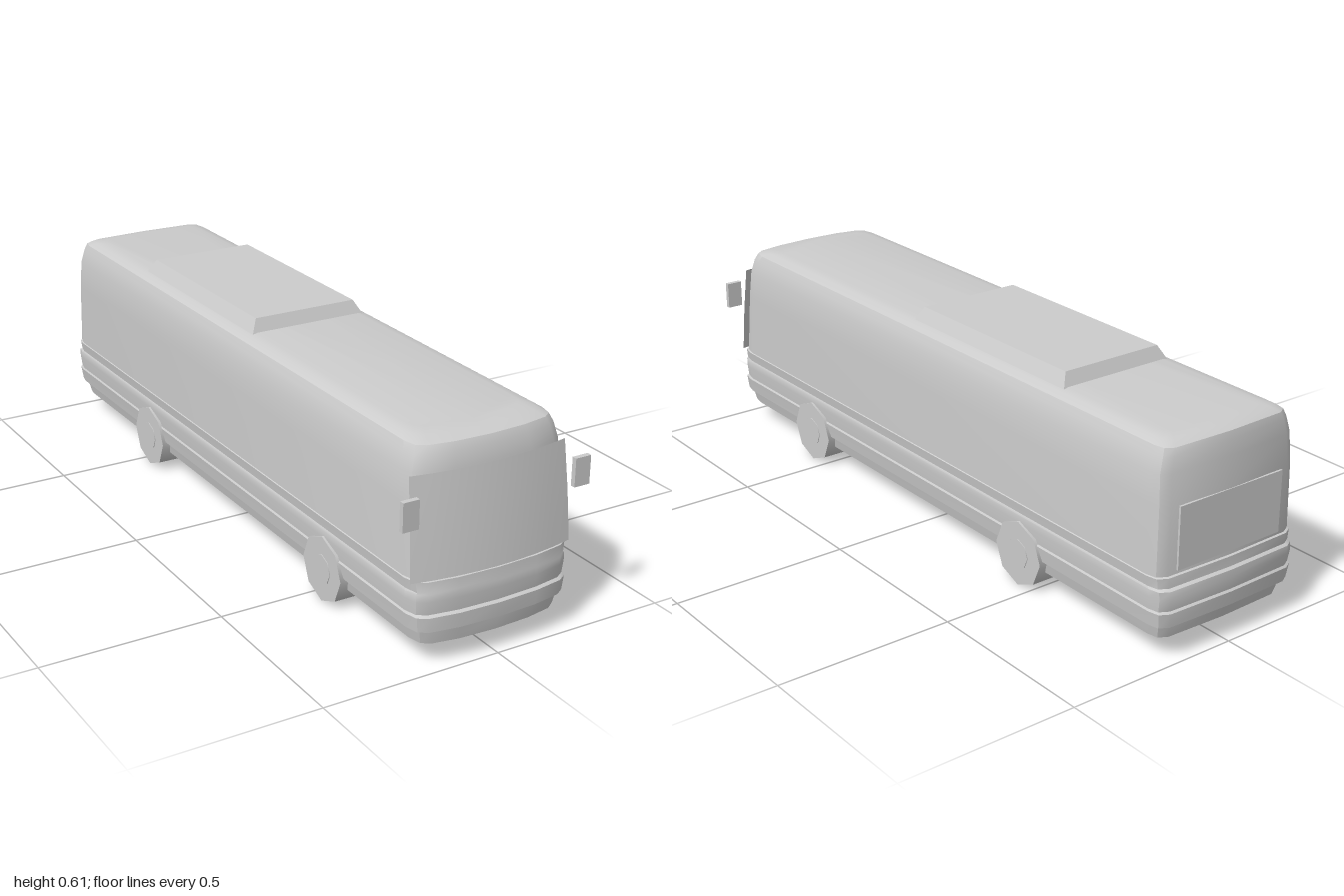
import * as THREE from 'three';
import { toCreasedNormals } from 'three/addons/utils/BufferGeometryUtils.js';

// Skin between equal-length rows of points; closed rows get flat end caps.
function loft(rows, closed) {
  const n = rows[0].length, pos = rows.flat(2), index = [];
  const last = closed ? n : n - 1;
  for (let r = 0; r < rows.length - 1; r++) {
    for (let i = 0; i < last; i++) {
      const j = (i + 1) % n, a = r * n + i, b = r * n + j;
      index.push(a, b, b + n, a, b + n, a + n);
    }
  }
  if (closed) {
    const t = (rows.length - 1) * n;
    for (let i = 1; i < n - 1; i++) {
      index.push(0, i + 1, i, t, t + i, t + i + 1);
    }
  }
  const g = new THREE.BufferGeometry();
  g.setAttribute('position', new THREE.Float32BufferAttribute(pos, 3));
  g.setIndex(index);
  return toCreasedNormals(g, 0.6);
}

// Plan outline of the coach at one height: bowed front, tighter rear corners.
function outline([y, w, zf, zb]) {
  const half = [
    [0, zf], [0.5 * w, zf - 0.005], [0.85 * w, zf - 0.018], [0.96 * w, zf - 0.034], [w, zf - 0.07],
    [w, zb + 0.05], [0.97 * w, zb + 0.02], [0.86 * w, zb + 0.006], [0, zb],
  ];
  const other = half.slice(1, -1).reverse().map(([x, z]) => [-x, z]);
  return half.concat(other).map(([x, z]) => [x, y, z]);
}

export function createModel() {
  const bus = new THREE.Group();
  bus.name = 'coach';
  const grey = new THREE.MeshStandardMaterial({ color: 0xcccccc, side: THREE.DoubleSide });
  grey.name = 'pale grey';
  const add = (name, geometry, x = 0, y = 0, z = 0) => {
    const m = new THREE.Mesh(geometry, grey);
    m.name = name;
    m.position.set(x, y, z);
    bus.add(m);
    return m;
  };

  // Body levels: height, half width, front z, rear z
  add('body', loft([
    [0.06, 0.207, 0.985, -0.975],
    [0.1, 0.215, 0.992, -0.985],
    [0.1, 0.225, 0.998, -0.995],
    [0.14, 0.23, 1.0, -1.0],
    [0.145, 0.227, 0.992, -0.995],
    [0.18, 0.23, 0.995, -1.0],
    [0.2, 0.23, 0.995, -0.998],
    [0.205, 0.227, 0.994, -0.99],
    [0.233, 0.231, 0.992, -0.99],
    [0.235, 0.229, 0.982, -0.984],
    [0.42, 0.226, 0.962, -0.982],
    [0.5, 0.222, 0.952, -0.976],
    [0.54, 0.211, 0.945, -0.972],
    [0.56, 0.203, 0.935, -0.967],
    [0.571, 0.185, 0.905, -0.945],
    [0.576, 0.16, 0.865, -0.915],
  ].map(outline), true));

  // Windscreen sheet, bowed and raked, standing just proud of the nose
  const screenRow = (y, x0, x1, z) => Array.from({ length: 9 }, (_, i) => {
    const x = x0 + (x1 - x0) * i / 8;
    return [x, y, z - 0.026 * (x / 0.23) ** 2];
  });
  add('windscreen', loft([
    screenRow(0.235, -0.24, 0.23, 0.99),
    screenRow(0.37, -0.236, 0.227, 0.976),
    screenRow(0.5, -0.232, 0.221, 0.96),
  ], false));

  // Rear window plate
  add('rearWindow', new THREE.BoxGeometry(0.34, 0.17, 0.006), 0, 0.33, -0.981);

  // Roof air conditioning unit with sloping sides
  const rect = (y, w, zf, zb) => [[w, y, zf], [w, y, zb], [-w, y, zb], [-w, y, zf]];
  add('roofUnit', loft([
    rect(0.572, 0.175, 0.09, -0.555),
    rect(0.611, 0.154, 0.07, -0.535),
  ], true));

  // Wheels, hubs and mirrors on both sides
  for (const s of [1, -1]) {
    for (const z of [0.555, -0.452]) {
      const tyre = new THREE.CylinderGeometry(0.092, 0.092, 0.094, 8);
      tyre.rotateZ(Math.PI / 2);
      add('wheel', toCreasedNormals(tyre, 0.9), s * 0.189, 0.092, z);
      const hub = new THREE.CylinderGeometry(0.042, 0.042, 0.004, 8);
      hub.rotateZ(Math.PI / 2);
      add('hub', toCreasedNormals(hub, 0.9), s * 0.236, 0.092, z);
    }
    add('mirror', new THREE.BoxGeometry(0.046, 0.077, 0.014), s * 0.251, 0.42, 0.968);
  }
  return bus;
}
